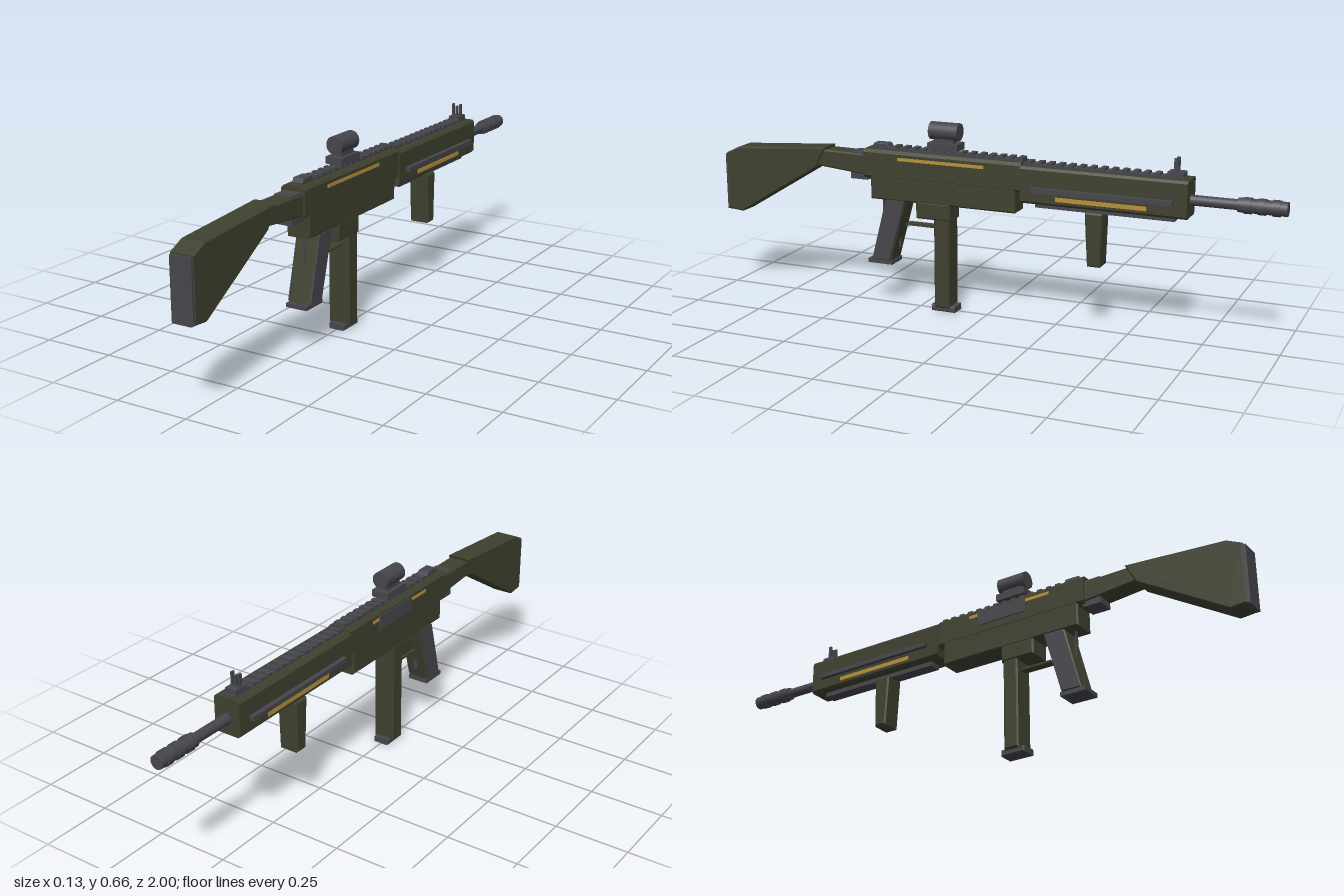
import * as THREE from 'three';

const mat = (name, color) => Object.assign(new THREE.MeshStandardMaterial({ color }), { name });

export function createModel() {
  const root = new THREE.Group();
  const olive = mat('olive', 0x3f412f);
  const grey = mat('gunmetal', 0x46464c);
  const gold = mat('gold', 0xb8923a);

  const add = (name, geo, material) => {
    const m = new THREE.Mesh(geo, material);
    m.name = name;
    root.add(m);
    return m;
  };
  // Side outline given as [z, y] points, extruded across x to +-w with a small bevel
  const side = (name, pts, w, material, b = 0.005) => {
    const geo = new THREE.ExtrudeGeometry(new THREE.Shape(pts.map(p => new THREE.Vector2(p[0], p[1]))), {
      depth: 2 * (w - b), bevelEnabled: b > 0, bevelSize: b, bevelThickness: b, bevelOffset: -b, bevelSegments: 1,
    });
    geo.translate(0, 0, -(w - b)).rotateY(-Math.PI / 2);
    return add(name, geo, material);
  };
  // Cross-section given as [x, y] points, extruded from z0 to z1
  const prism = (name, pts, z0, z1, material) => {
    const geo = new THREE.ExtrudeGeometry(new THREE.Shape(pts.map(p => new THREE.Vector2(p[0], p[1]))), {
      depth: z1 - z0, bevelEnabled: false,
    });
    return add(name, geo.translate(0, 0, z0), material);
  };
  const box = (name, x0, x1, y0, y1, z0, z1, material) => add(name,
    new THREE.BoxGeometry(x1 - x0, y1 - y0, z1 - z0)
      .translate((x0 + x1) / 2, (y0 + y1) / 2, (z0 + z1) / 2), material);
  const rod = (name, r, y, z0, z1, material, n = 24) => add(name,
    new THREE.CylinderGeometry(r, r, z1 - z0, n).rotateX(Math.PI / 2).translate(0, y, (z0 + z1) / 2), material);
  const rect = (z0, z1, y0, y1) => [[z0, y0], [z1, y0], [z1, y1], [z0, y1]];
  // Symmetric section with cut top and bottom corners
  const chamfered = (w, y0, y1, c) => [[-w + c, y0], [w - c, y0], [w, y0 + c], [w, y1 - c],
    [w - c, y1], [-w + c, y1], [-w, y1 - c], [-w, y0 + c]];

  // Stock
  side('buttStock', [[0.59, 0.54], [0.63, 0.465], [0.935, 0.28], [0.992, 0.285], [0.992, 0.49], [0.94, 0.515]], 0.041, olive);
  side('buttPlate', rect(0.985, 1, 0.283, 0.485), 0.038, grey, 0.004);
  side('stockNeck', [[0.43, 0.455], [0.49, 0.462], [0.63, 0.475], [0.6, 0.532], [0.43, 0.53]], 0.036, olive);
  box('stockHinge', -0.032, 0.032, 0.44, 0.534, 0.43, 0.495, grey);

  // Receiver
  prism('upperReceiver', chamfered(0.043, 0.45, 0.55, 0.01), -0.135, 0.44, olive);
  side('lowerReceiver', rect(-0.115, 0.415, 0.378, 0.47), 0.042, olive);
  side('magazineWell', rect(0.12, 0.245, 0.325, 0.385), 0.042, olive);
  box('ejectionPort', -0.047, -0.042, 0.485, 0.535, 0.03, 0.22, grey);
  for (const s of [-1, 1]) {
    const a = s * 0.042, b = s * 0.045;
    box('receiverStripe', Math.min(a, b), Math.max(a, b), 0.519, 0.53, -0.005, 0.31, gold);
  }

  // Handguard with side rails, stripes and lower rail
  prism('handguard', chamfered(0.048, 0.418, 0.541, 0.008), -0.695, -0.135, olive);
  for (const s of [-1, 1]) {
    const strip = (name, x, y0, y1, z0, z1, m) =>
      box(name, Math.min(s * 0.046, s * x), Math.max(s * 0.046, s * x), y0, y1, z0, z1, m);
    strip('sideRail', 0.063, 0.461, 0.477, -0.65, -0.18, grey);
    strip('handguardStripe', 0.0505, 0.435, 0.449, -0.565, -0.26, gold);
  }
  box('lowerRail', -0.022, 0.022, 0.402, 0.42, -0.65, -0.18, grey);

  // Top rail with evenly spaced teeth
  box('receiverRail', -0.019, 0.019, 0.545, 0.556, -0.13, 0.42, grey);
  box('handguardRail', -0.019, 0.019, 0.536, 0.546, -0.68, -0.135, grey);
  for (let i = 0; i < 14; i++) {
    const z = 0.33 - i * 0.035;
    box('receiverRailTooth', -0.021, 0.021, 0.55, 0.563, z - 0.009, z + 0.009, grey);
    const h = -0.155 - i * 0.036;
    box('handguardRailTooth', -0.021, 0.021, 0.54, 0.553, h - 0.009, h + 0.009, grey);
  }

  // Sights
  side('rearSight', [[0.35, 0.55], [0.42, 0.55], [0.41, 0.569], [0.36, 0.569]], 0.019, grey, 0.002);
  box('frontSightBase', -0.02, 0.02, 0.54, 0.562, -0.675, -0.622, grey);
  for (const x of [-0.014, 0, 0.014]) {
    box('frontSightPost', x - 0.003, x + 0.003, 0.56, x ? 0.605 : 0.597, -0.653, -0.641, grey);
  }
  box('opticMount', -0.031, 0.031, 0.564, 0.588, 0.095, 0.205, grey);
  box('opticNeck', -0.018, 0.018, 0.585, 0.605, 0.115, 0.185, grey);
  rod('opticTube', 0.03, 0.626, 0.098, 0.202, grey, 32);

  // Barrel and muzzle brake
  rod('barrel', 0.017, 0.473, -0.86, -0.68, grey);
  rod('muzzleBrake', 0.023, 0.473, -1, -0.845, grey);
  for (const z of [-0.875, -0.92, -0.965]) rod('muzzleRing', 0.026, 0.473, z - 0.012, z + 0.012, grey);

  // Pistol grip with grey side panels
  side('pistolGrip', [[0.283, 0.385], [0.345, 0.16], [0.418, 0.16], [0.36, 0.385]], 0.04, olive);
  for (const s of [-1, 1]) {
    side('gripPanel', [[0.288, 0.378], [0.349, 0.165], [0.413, 0.165], [0.357, 0.378]], 0.002, grey, 0)
      .position.x = s * 0.041;
  }
  box('gripCap', -0.038, 0.038, 0.148, 0.162, 0.34, 0.432, grey);

  // Trigger and guard
  box('triggerGuard', -0.016, 0.016, 0.29, 0.297, 0.18, 0.295, olive);
  box('trigger', -0.006, 0.006, 0.205, 0.34, 0.323, 0.328, grey);
  box('guardRear', -0.006, 0.006, 0.25, 0.38, 0.383, 0.387, grey);

  // Magazine and foregrip
  side('magazine', rect(0.125, 0.18, 0.016, 0.34), 0.039, olive);
  side('magazineBase', rect(0.108, 0.196, 0, 0.021), 0.029, grey, 0.003);
  side('foregrip', [[-0.41, 0.225], [-0.366, 0.225], [-0.355, 0.405], [-0.415, 0.405]], 0.036, olive);
  return root;
}
